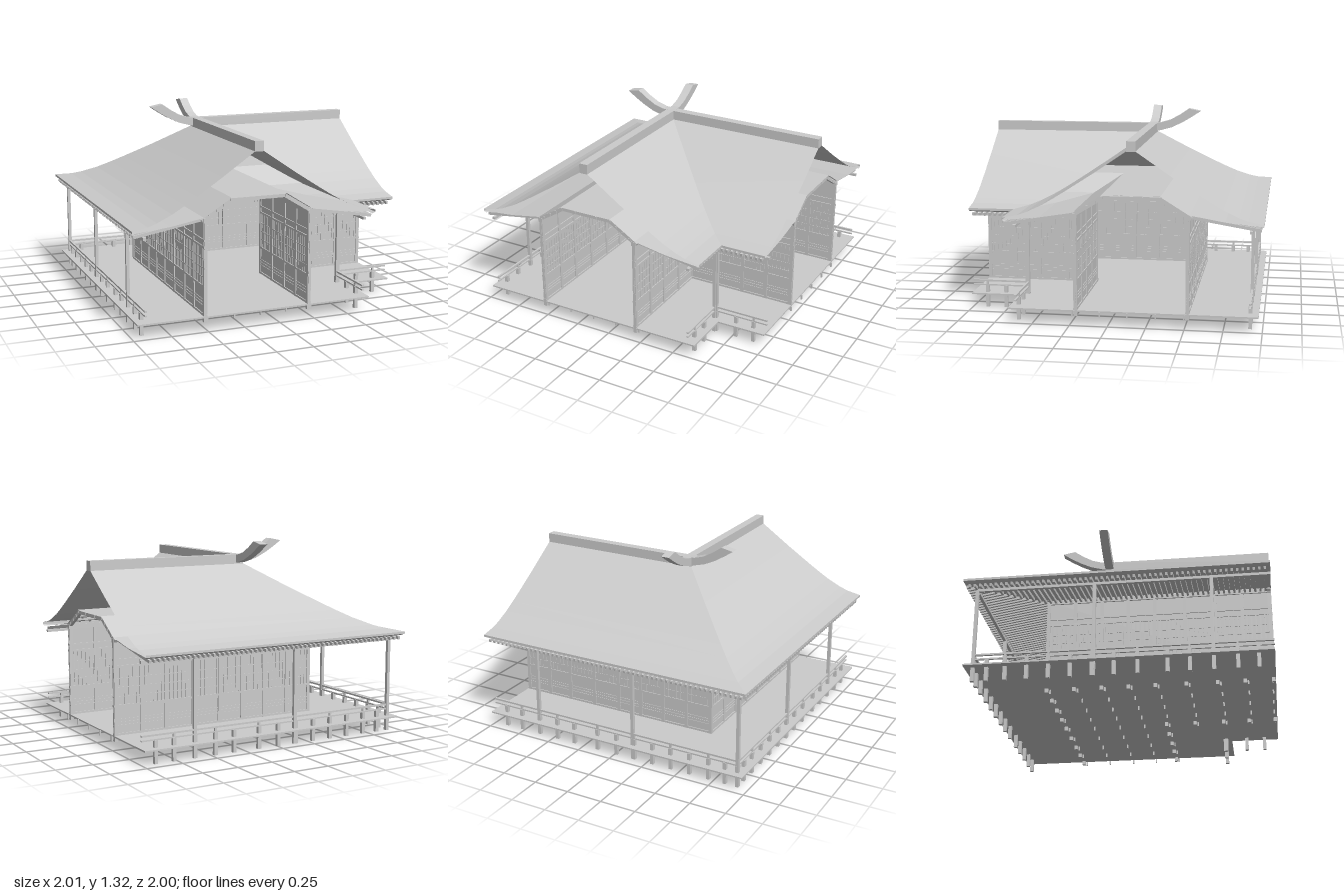
import * as THREE from 'three';
import { mergeGeometries } from 'three/addons/utils/BufferGeometryUtils.js';

const C = -0.155;   // ridge line of a wing
const W = 0.365;    // ridge line to wall
const E = 0.765;    // ridge line to outer columns and railing
const grey = new THREE.MeshStandardMaterial({ color: 0xcccccc });
const sheetGrey = new THREE.MeshStandardMaterial({ color: 0xcccccc, flatShading: true, side: THREE.DoubleSide });

// Box from its limits
function box(x0, x1, y0, y1, z0, z1) {
  return new THREE.BoxGeometry(x1 - x0, y1 - y0, z1 - z0)
    .translate((x0 + x1) / 2, (y0 + y1) / 2, (z0 + z1) / 2);
}

// Upright post
function post(x, z, y0, y1, w) {
  return box(x - w / 2, x + w / 2, y0, y1, z - w / 2, z + w / 2);
}

// Straight timber between two points
function beam(a, b, w, h) {
  const p = new THREE.Vector3(...a), q = new THREE.Vector3(...b);
  const m = new THREE.Matrix4().lookAt(p, q, new THREE.Vector3(0, 1, 0));
  m.setPosition(p.clone().add(q).multiplyScalar(0.5));
  return new THREE.BoxGeometry(w, h, p.distanceTo(q)).applyMatrix4(m);
}

// Surface swept along a wing from a [distance, height] profile, mitred at the corner
function sheet(profile, s) {
  const pos = [], idx = [];
  profile.forEach(([d, y], i) => {
    const z = C + s * d;
    pos.push(z, y, z, 1, y, z);
    if (i) {
      const k = 2 * i - 2;
      if (s > 0) idx.push(k, k + 2, k + 1, k + 1, k + 2, k + 3);
      else idx.push(k, k + 1, k + 2, k + 1, k + 3, k + 2);
    }
  });
  const g = new THREE.BufferGeometry();
  g.setAttribute('position', new THREE.Float32BufferAttribute(pos, 3));
  g.setIndex(idx);
  g.computeVertexNormals();
  return g;
}

const roofProfile = [[0, 1.165], [0.03, 1.15], [0.25, 1.0], [0.42, 0.89], [0.5, 0.84],
  [0.585, 0.79], [0.685, 0.743], [0.745, 0.722], [0.845, 0.703]];
const ceilingProfile = [[0, 0.867], [0.19, 0.867], [0.385, 0.745]];
const eaveProfile = [[0.37, 0.752], [0.6, 0.712], [0.845, 0.688]];
const postXs = [-0.92, -0.83, -0.71, -0.57, -0.43, -0.29, -0.15, -0.01, 0.14, 0.33, 0.47, 0.62, 0.77, 0.9];
const bays = [-0.52, -0.335, -0.15, 0.03, 0.21, 0.415, 0.62, 0.8, 0.985];

function buildWing() {
  const wing = new THREE.Group();
  const add = (name, geos, mat = grey) => {
    const m = new THREE.Mesh(geos.length > 1 ? mergeGeometries(geos) : geos[0], mat);
    m.name = name;
    wing.add(m);
  };
  const sides = [-1, 1];

  // Roof skin, eave boarding and ceiling
  add('roofSlopes', sides.map(s => sheet(roofProfile, s)), sheetGrey);
  add('eaveBoards', sides.map(s => sheet(eaveProfile, s)), sheetGrey);
  add('ceiling', sides.map(s => sheet(ceilingProfile, s)), sheetGrey);
  add('eaveEdge', sides.map(s => sheet([[0.845, 0.703], [0.845, 0.688], [0.825, 0.678]], s)), sheetGrey);

  // Ridge beam and its upturned horn
  add('ridgeBeam', [box(C - 0.03, 1, 1.148, 1.215, C - 0.03, C + 0.03)]);
  const horn = new THREE.Shape([
    [-0.125, 1.148], [-0.21, 1.163], [-0.29, 1.185], [-0.37, 1.223], [-0.44, 1.265], [-0.5, 1.305],
    [-0.415, 1.322], [-0.35, 1.277], [-0.28, 1.238], [-0.21, 1.218], [-0.125, 1.213],
  ].map(p => new THREE.Vector2(...p)));
  add('ridgeHorn', [new THREE.ExtrudeGeometry(horn, { depth: 0.06, bevelEnabled: false }).translate(0, 0, C - 0.03)]);

  const rafters = [], eaveBeams = [], purlins = [], ribs = [];
  const walls = [], rails = [], slats = [], columns = [], eaveColumns = [];
  for (const s of sides) {
    // Eave rafters, cut along the hip or valley
    const rafterY = d => 0.735 - (d - 0.37) * 0.165;
    for (let x = -0.96; x < 1; x += 0.035) {
      let d0 = 0.37, d1 = 0.83;
      if (s < 0) d0 = Math.max(d0, C - x);
      else d1 = Math.min(d1, x - C);
      if (d1 - d0 > 0.02) {
        rafters.push(beam([x, rafterY(d0), C + s * d0], [x, rafterY(d1), C + s * d1], 0.014, 0.02));
      }
    }
    const zE = C + s * E;
    eaveBeams.push(box(zE, 1, 0.64, 0.658, zE - 0.01, zE + 0.01));

    // Ceiling purlins and ribs
    for (const [d, y] of [[0.08, 0.852], [0.19, 0.852], [0.235, 0.82], [0.285, 0.788], [0.335, 0.757]]) {
      const z = C + s * d;
      purlins.push(box(z, 1, y - 0.008, y + 0.008, z - 0.007, z + 0.007));
    }
    for (let x = -0.42; x < 1; x += 0.075) {
      const a = s < 0 ? Math.max(0.19, C - x) : 0.19;
      const b = s < 0 ? 0.37 : Math.min(0.37, x - C);
      const y = d => 0.855 - (d - 0.19) * 0.626;
      if (b - a > 0.02) ribs.push(beam([x, y(a), C + s * a], [x, y(b), C + s * b], 0.012, 0.014));
    }
    // End truss
    ribs.push(beam([0.985, 0.85, C], [0.985, 0.85, C + s * 0.19], 0.022, 0.022));
    ribs.push(beam([0.985, 0.85, C + s * 0.185], [0.985, 0.727, C + s * 0.385], 0.022, 0.025));

    // Walls with horizontal rails, slatted windows and columns
    const z = C + s * W;
    const bar = (y, h, t) => rails.push(box(z, 1, y - h / 2, y + h / 2, z - t / 2, z + t / 2));
    walls.push(box(z, 1, 0.1, 0.745, z - 0.005, z + 0.005));
    for (const y of [0.112, 0.3, 0.558, 0.602]) bar(y, 0.014, 0.024);
    for (const y of [0.17, 0.19, 0.21, 0.36, 0.42, 0.48]) bar(y, 0.006, 0.018);
    bar(0.73, 0.03, 0.03);
    for (let x = z + 0.03; x < 0.98; x += 0.03) {
      slats.push(box(x - 0.005, x + 0.005, 0.3, 0.555, z - 0.008, z + 0.008));
    }
    for (const x of bays.filter(b => b >= z - 0.01)) columns.push(post(x, z, 0.065, 0.74, 0.024));

    // Free columns under the eaves
    for (const x of [-0.92, -0.14, 0.62].filter(b => b >= zE - 0.02)) {
      eaveColumns.push(post(x, zE, 0, 0.65, 0.022));
    }
  }
  add('eaveRafters', rafters);
  add('eaveBeams', eaveBeams);
  add('ceilingPurlins', purlins);
  add('ceilingRibs', ribs);
  add('walls', walls);
  add('wallRails', rails);
  add('windowSlats', slats);
  add('wallColumns', columns);
  add('eaveColumns', eaveColumns);

  // Veranda railing and its posts, which also carry the deck
  const railing = [], posts = [];
  for (const s of sides) {
    const z = C + s * E;
    railing.push(box(z, 1, 0.178, 0.19, z - 0.007, z + 0.007));
    railing.push(box(z, 1, 0.149, 0.159, z - 0.006, z + 0.006));
    postXs.filter(x => x > z - 0.02).forEach((x, i) => {
      posts.push(post(x, z, 0, 0.152, 0.024));
      if (i % 2 === 0) posts.push(post(x, z, 0.15, 0.18, 0.014));
    });
  }
  add('railing', railing);
  add('verandaPosts', posts);
  return wing;
}

export function createModel() {
  const model = new THREE.Group();
  model.name = 'cornerGallery';

  // Two matching wings, the second mirrored over the diagonal
  const wingA = buildWing();
  wingA.name = 'sideWing';
  const wingB = buildWing();
  wingB.name = 'frontWing';
  wingB.scale.z = -1;
  wingB.rotation.y = -Math.PI / 2;
  model.add(wingA, wingB);

  // Floor deck with a notched inner corner
  const outline = [[-0.975, -0.975], [1, -0.975], [1, 0.66], [0.66, 0.66], [0.66, 1], [-0.975, 1]];
  const deckShape = new THREE.Shape(outline.map(p => new THREE.Vector2(...p)));
  const deck = new THREE.Mesh(
    new THREE.ExtrudeGeometry(deckShape, { depth: 0.01, bevelEnabled: false })
      .rotateX(Math.PI / 2).translate(0, 0.104, 0), grey);
  deck.name = 'deck';
  model.add(deck);

  // Short floor struts below the rooms
  const struts = [];
  for (const x of bays) {
    for (const z of bays) {
      if (x < 0.3 || z < 0.3) struts.push(post(x + 0.02, z + 0.02 > 0.99 ? 0.98 : z + 0.02, 0.065, 0.1, 0.01));
    }
  }
  const strutMesh = new THREE.Mesh(mergeGeometries(struts), grey);
  strutMesh.name = 'floorStruts';
  model.add(strutMesh);
  return model;
}
